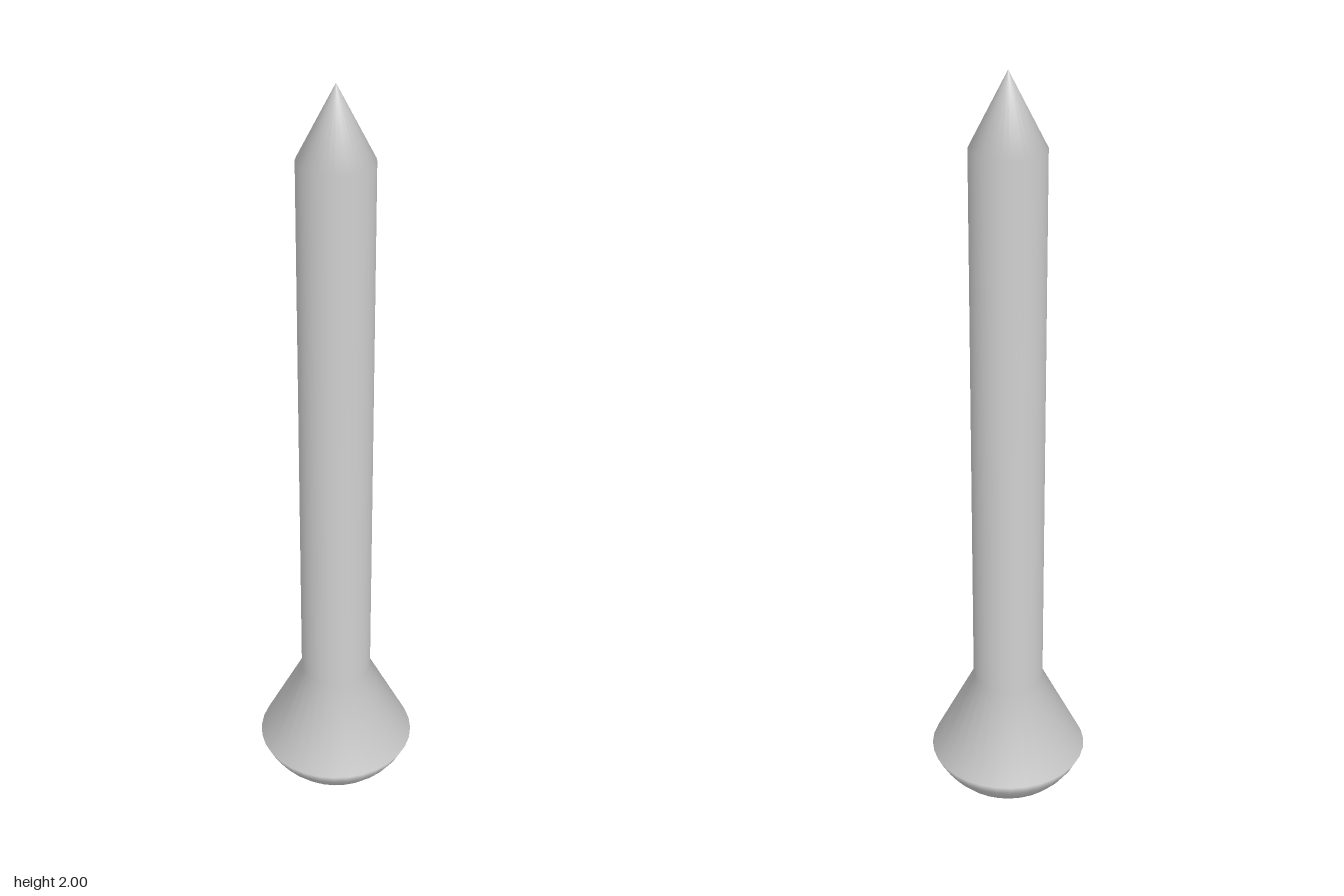
import * as THREE from 'three';

export function createModel() {
  const model = new THREE.Group();
  const material = new THREE.MeshStandardMaterial({ color: 0xcccccc });

  // Domed cap: a spherical arc from the bottom centre out to the rim
  const rimRadius = 0.208, rimHeight = 0.14;
  const domeRadius = (rimRadius ** 2 + rimHeight ** 2) / (2 * rimHeight);
  const rimAngle = Math.asin(rimRadius / domeRadius);
  const domeSteps = 8;
  const profile = [];
  for (let i = 0; i <= domeSteps; i++) {
    const a = (rimAngle * i) / domeSteps;
    profile.push(new THREE.Vector2(domeRadius * Math.sin(a), domeRadius * (1 - Math.cos(a))));
  }

  // Flared neck, straight shaft and pointed tip
  profile.push(
    new THREE.Vector2(0.093, 0.37),
    new THREE.Vector2(0.093, 1.82),
    new THREE.Vector2(0, 2)
  );

  // One smooth turned body, with normals blended along the profile
  const body = new THREE.Mesh(new THREE.LatheGeometry(profile, 32), material);
  body.name = 'spikeWithDomedHead';
  model.add(body);
  return model;
}
